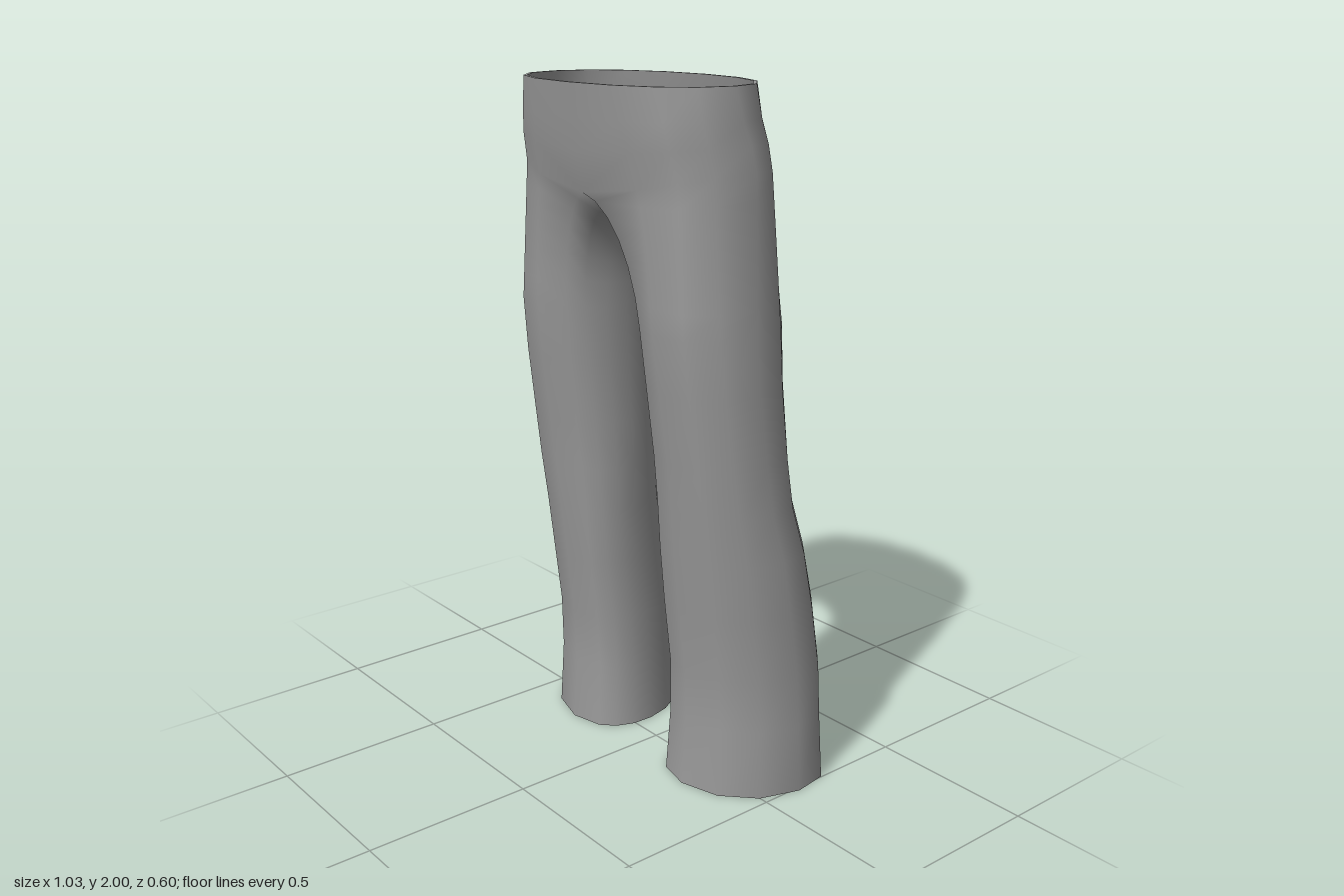
import * as THREE from 'three';
import { mergeVertices } from 'three/addons/utils/BufferGeometryUtils.js';

const OUT = 8;      // segments from front centre round the hip to back centre
const COLS = 14;    // columns round one leg (the last 6 segments face inward)
const THICK = 0.01;

// Leg sections: y, inner x, outer x, front z, back z, skew
const LEG = [
  [0, 0.10, 0.515, 0.12, -0.30, -0.24], [0.2, 0.11, 0.505, 0.107, -0.287, -0.24],
  [0.36, 0.115, 0.50, 0.112, -0.28, -0.24], [0.55, 0.115, 0.497, 0.135, -0.25, -0.23],
  [0.72, 0.112, 0.495, 0.152, -0.215, -0.19], [0.86, 0.108, 0.482, 0.167, -0.187, -0.08],
  [1.0, 0.105, 0.475, 0.183, -0.175, -0.03], [1.2, 0.10, 0.465, 0.21, -0.166, 0],
  [1.36, 0.093, 0.457, 0.228, -0.166, 0],
];
// Hip sections: y, half width, front z, back z, front and back roundness, lift at the side
const HIP = [
  [1.71, 0.424, 0.254, -0.225, 0.7, 1.06, 0.07], [1.82, 0.414, 0.274, -0.223, 0.72, 1.06, 0.03],
  [1.91, 0.404, 0.288, -0.2, 0.79, 1.02, 0], [2, 0.39, 0.30, -0.18, 0.87, 0.95, 0],
];
// Crotch seam from back to front: y, z
const CROTCH = [[1.65, -0.17], [1.62, -0.1], [1.61, 0], [1.62, 0.09], [1.655, 0.18]];

const lerp = THREE.MathUtils.lerp;
const rounded = (v, e) => Math.sign(v) * Math.abs(v) ** e;

function legRing([y, x0, x1, zf, zb, skew]) {
  return Array.from({ length: COLS }, (_, j) => {
    const deg = j <= OUT ? 125 - 31.25 * j : -125 - (j - OUT) * 110 / 6;
    const a = THREE.MathUtils.degToRad(deg);
    return [
      (x0 + x1) / 2 + (x1 - x0) / 2 * rounded(Math.cos(a - skew / 2), 0.94), y,
      (zf + zb) / 2 + (zf - zb) / 2 * rounded(Math.sin(a + skew / 2), 0.94),
    ];
  });
}

function hipArc([y, w, zf, zb, eFront, eBack, lift]) {
  return Array.from({ length: OUT + 1 }, (_, j) => {
    const a = Math.PI / 2 - Math.PI * j / OUT;
    const onSeam = j === 0 || j === OUT;
    const e = a > 0 ? eFront : eBack;
    return [onSeam ? 0 : w * rounded(Math.cos(a), e), y + lift * Math.cos(a),
      (zf + zb) / 2 + (zf - zb) / 2 * rounded(Math.sin(a), e)];
  });
}

// Blend one leg ring into the ring formed by the hip arc and crotch seam
function thighRing(from, to, u) {
  return from.map((p, j) => {
    const q = to[j];
    const edge = Math.min(j, OUT - j);
    const bulge = edge < 0 ? 1 : edge === 0 ? 0.8 : edge === 1 ? 0.4 : 0;
    const fy = lerp(u, Math.sin(u * Math.PI / 2), bulge);
    const fx = lerp(u, 1 - Math.cos(u * Math.PI / 2), bulge);
    const fz = p[2] < -0.03 ? fx ** 1.5 : lerp(u, fx, 0.5);
    return [lerp(p[0], q[0], fx), lerp(p[1], q[1], fy), lerp(p[2], q[2], fz)];
  });
}

// Outer cloth surface, both sides welded along the centre seam
function clothSurface() {
  const pos = [];
  const tri = (a, b, c, s) => {
    for (const p of s > 0 ? [a, b, c] : [a, c, b]) pos.push(s * p[0], p[1], p[2]);
  };
  const strip = (lo, hi, n) => {
    for (let j = 0; j < n; j++) {
      const k = (j + 1) % lo.length;
      for (const s of [1, -1]) {
        tri(lo[j], lo[k], hi[k], s);
        tri(lo[j], hi[k], hi[j], s);
      }
    }
  };
  const arcs = HIP.map(hipArc);
  const rings = LEG.map(legRing);
  const top = rings[rings.length - 1];
  const saddle = [...arcs[0], ...CROTCH.map(([y, z]) => [0, y, z])];
  for (let i = 1; i <= 6; i++) rings.push(thighRing(top, saddle, i / 6));
  for (let i = 1; i < rings.length; i++) strip(rings[i - 1], rings[i], COLS);
  for (let i = 1; i < arcs.length; i++) strip(arcs[i - 1], arcs[i], OUT);

  const raw = new THREE.BufferGeometry();
  raw.setAttribute('position', new THREE.Float32BufferAttribute(pos, 3));
  const g = mergeVertices(raw, 1e-4);
  g.computeVertexNormals();
  return g;
}

// Inside surface: the cloth moved inward and turned over
function liningSurface(outer) {
  const g = outer.clone();
  const p = g.attributes.position, n = outer.attributes.normal;
  for (let i = 0; i < p.count; i++) {
    // hems and waist stay level
    const open = p.getY(i) < 1e-4 || p.getY(i) > 2 - 1e-4;
    p.setXYZ(i, p.getX(i) - THICK * n.getX(i),
      p.getY(i) - (open ? 0 : THICK * n.getY(i)), p.getZ(i) - THICK * n.getZ(i));
  }
  const idx = Array.from(outer.index.array);
  for (let i = 0; i < idx.length; i += 3) [idx[i + 1], idx[i + 2]] = [idx[i + 2], idx[i + 1]];
  g.setIndex(idx);
  g.computeVertexNormals();
  return g;
}

// Flat rims joining cloth and lining along every open edge
function rimSurface(outer, inner) {
  const idx = outer.index.array;
  const edges = new Set();
  for (let i = 0; i < idx.length; i += 3) {
    for (let k = 0; k < 3; k++) edges.add(`${idx[i + k]},${idx[i + (k + 1) % 3]}`);
  }
  const pos = [];
  const put = (g, i) => {
    const p = g.attributes.position;
    pos.push(p.getX(i), p.getY(i), p.getZ(i));
  };
  for (const e of edges) {
    const [a, b] = e.split(',').map(Number);
    if (edges.has(`${b},${a}`)) continue;
    put(outer, b); put(outer, a); put(inner, a);
    put(outer, b); put(inner, a); put(inner, b);
  }
  const g = new THREE.BufferGeometry();
  g.setAttribute('position', new THREE.Float32BufferAttribute(pos, 3));
  g.computeVertexNormals();
  return g;
}

export function createModel() {
  const group = new THREE.Group();
  group.name = 'trousers';
  const material = new THREE.MeshStandardMaterial({ color: 0x999999 });
  const add = (name, geometry) => {
    const mesh = new THREE.Mesh(geometry, material);
    mesh.name = name;
    group.add(mesh);
  };
  const outer = clothSurface();
  const inner = liningSurface(outer);
  add('outerCloth', outer);
  add('lining', inner);
  add('waistAndHemRims', rimSurface(outer, inner));
  return group;
}
